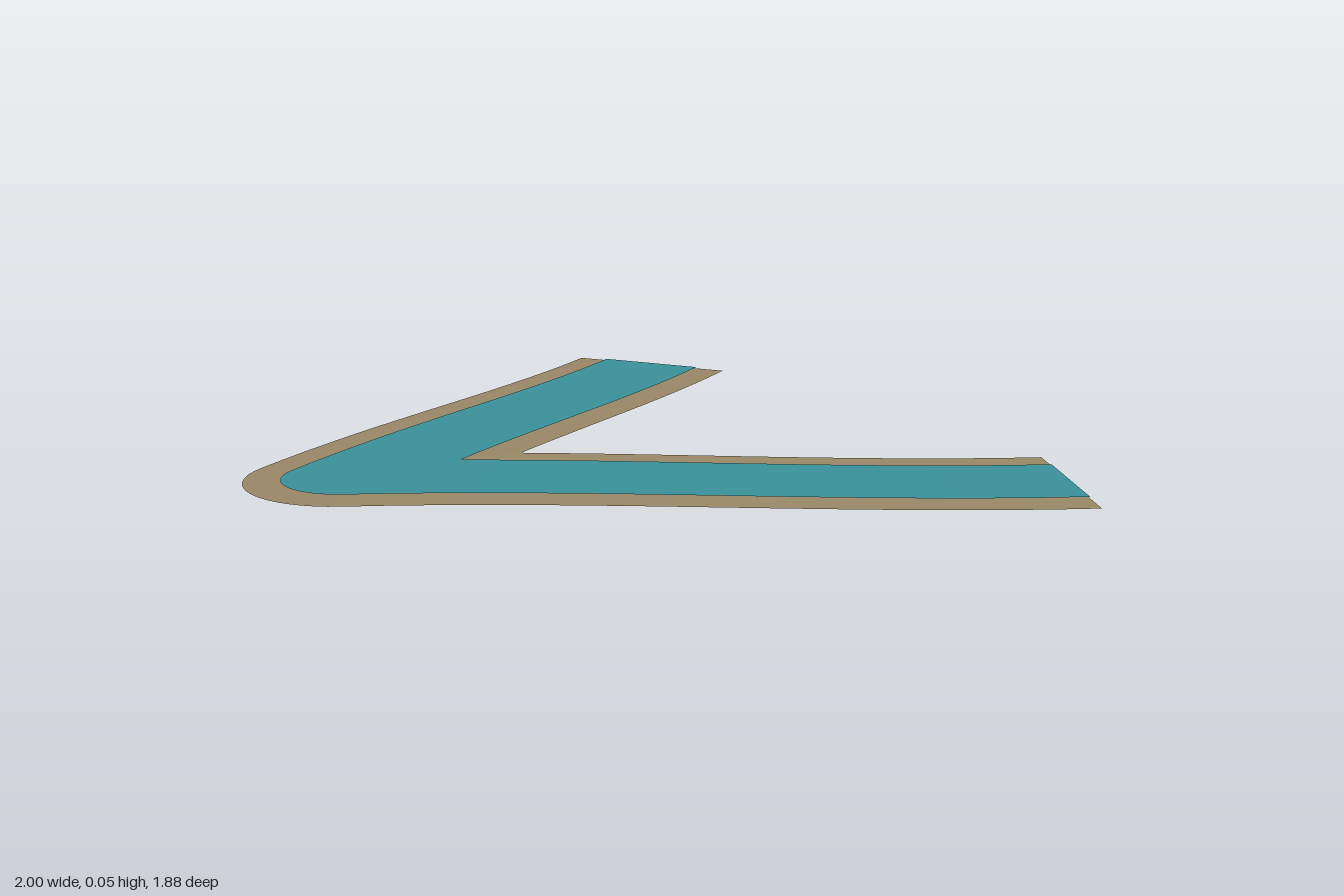
import * as THREE from 'three';

const CORNER = { x: -0.755, z: 0.697 };
const LENGTH = 1.753;
const CREST = 0.051;
const ROWS = 18;
const ARC_STEPS = 16;

// Gentle S-shaped slope from the bend down to the end of each arm
const height = (s) => CREST * (1 - THREE.MathUtils.smoothstep(s, 0, LENGTH));

// Ribbon of the given half width: arm, rounded outer bend, arm.
// Each row has an inner, a centre and an outer point.
function ribbon(halfWidth, lift) {
  const positions = [];
  const indices = [];
  let rows = 0;
  const innerStart = halfWidth / Math.tan(Math.PI / 6);

  // dir: arm direction, out: direction towards the outer edge
  const addPoint = (dir, out, s, offset) => positions.push(
    CORNER.x + dir[0] * s + out[0] * offset,
    height(s) + lift,
    CORNER.z + dir[1] * s + out[1] * offset
  );
  const addArmRow = (dir, out, t) => {
    addPoint(dir, out, THREE.MathUtils.lerp(innerStart, LENGTH, t), -halfWidth);
    addPoint(dir, out, LENGTH * t, 0);
    addPoint(dir, out, LENGTH * t, halfWidth);
    rows++;
  };

  const c = Math.cos(Math.PI / 3), k = Math.sin(Math.PI / 3);
  const backDir = [c, -k], backOut = [-k, -c];
  const frontDir = [1, 0], frontOut = [0, 1];

  for (let i = ROWS; i >= 0; i--) addArmRow(backDir, backOut, i / ROWS);
  // Fan around the bend
  for (let i = 1; i < ARC_STEPS; i++) {
    const a = THREE.MathUtils.degToRad(210 - (120 * i) / ARC_STEPS);
    addPoint(frontDir, frontOut, innerStart, -halfWidth);
    addPoint(frontDir, frontOut, 0, 0);
    addPoint(frontDir, [Math.cos(a), Math.sin(a)], 0, halfWidth);
    rows++;
  }
  for (let i = 0; i <= ROWS; i++) addArmRow(frontDir, frontOut, i / ROWS);

  for (let r = 0; r < rows - 1; r++) {
    for (let j = 0; j < 2; j++) {
      const p = r * 3 + j, q = p + 3;
      indices.push(p, p + 1, q, p + 1, q + 1, q);
    }
  }
  const geometry = new THREE.BufferGeometry();
  geometry.setAttribute('position', new THREE.Float32BufferAttribute(positions, 3));
  geometry.setIndex(indices);
  geometry.computeVertexNormals();
  return geometry;
}

export function createModel() {
  const group = new THREE.Group();
  group.name = 'riverBend';

  const bankMaterial = new THREE.MeshStandardMaterial({ color: 0x9b8a68, side: THREE.DoubleSide });
  bankMaterial.name = 'sandyBrown';
  const waterMaterial = new THREE.MeshStandardMaterial({ color: 0x3a929b, side: THREE.DoubleSide });
  waterMaterial.name = 'waterTeal';

  // Sandy bed, full width
  const bank = new THREE.Mesh(ribbon(0.243, 0), bankMaterial);
  bank.name = 'riverBank';
  // Water surface just above the bed
  const water = new THREE.Mesh(ribbon(0.155, 0.004), waterMaterial);
  water.name = 'waterSurface';

  group.add(bank, water);
  return group;
}
